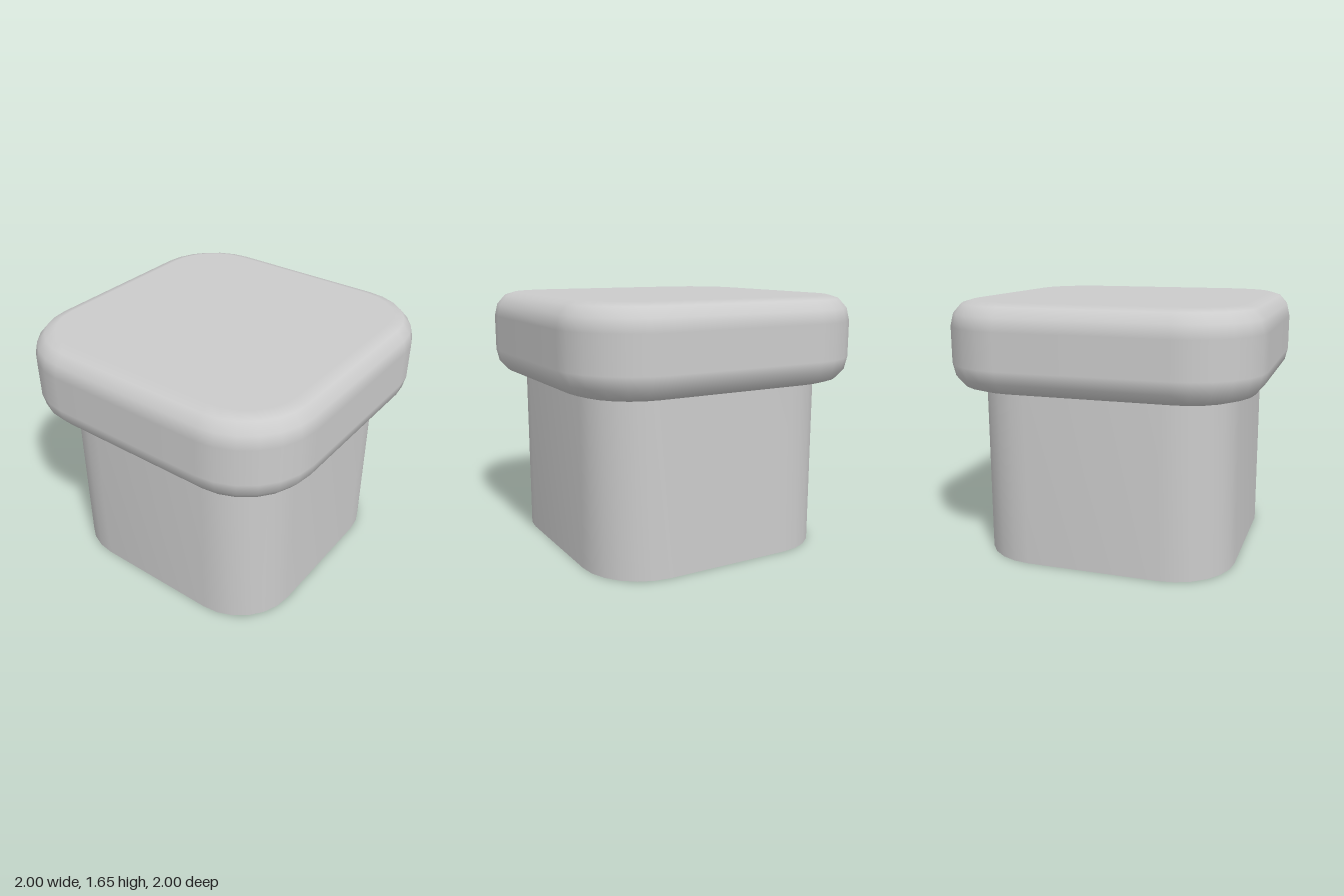
import * as THREE from 'three';
import { toCreasedNormals } from 'three/addons/utils/BufferGeometryUtils.js';

const material = new THREE.MeshStandardMaterial({ color: 0xcccccc });

// Square outline with rounded corners
function roundedSquare(half, radius) {
  const c = half - radius;
  const shape = new THREE.Shape();
  [[c, c], [-c, c], [-c, -c], [c, -c]].forEach(([x, y], i) => {
    shape.absarc(x, y, radius, i * Math.PI / 2, (i + 1) * Math.PI / 2, false);
  });
  shape.closePath();
  return shape;
}

// Straight post with rounded vertical edges
function createPost() {
  const geometry = new THREE.ExtrudeGeometry(roundedSquare(0.825, 0.4), {
    depth: 1.12, bevelEnabled: false, curveSegments: 3,
  });
  geometry.rotateX(-Math.PI / 2);
  return toCreasedNormals(geometry, 0.6);
}

// Wide cap with soft upper and lower edges
function createCap() {
  const bottom = 1.1, top = 1.65, bevel = 0.16, inset = 0.14, radius = 0.48;
  const low = bottom + bevel, high = top - bevel, core = 1 - radius;
  const geometry = new THREE.ExtrudeGeometry(roundedSquare(1 - inset, radius - inset), {
    depth: high - low, bevelThickness: bevel, bevelSize: inset, bevelSegments: 3, curveSegments: 3,
  });
  geometry.rotateX(-Math.PI / 2);
  geometry.translate(0, low, 0);

  // Smooth normals follow the rounded edges and leave the top and bottom flat
  const { position, normal } = geometry.attributes;
  const beyond = (v, min, max) => v - THREE.MathUtils.clamp(v, min, max);
  const n = new THREE.Vector3();
  for (let i = 0; i < position.count; i++) {
    const rise = THREE.MathUtils.clamp(beyond(position.getY(i), low, high) / bevel, -1, 1);
    n.set(beyond(position.getX(i), -core, core), 0, beyond(position.getZ(i), -core, core));
    n.setLength(Math.sqrt(1 - rise * rise));
    n.y = rise;
    normal.setXYZ(i, n.x, n.y, n.z);
  }
  return geometry;
}

export function createModel() {
  const model = new THREE.Group();
  const parts = { post: createPost(), cap: createCap() };
  for (const [name, geometry] of Object.entries(parts)) {
    const mesh = new THREE.Mesh(geometry, material);
    mesh.name = name;
    model.add(mesh);
  }
  return model;
}
